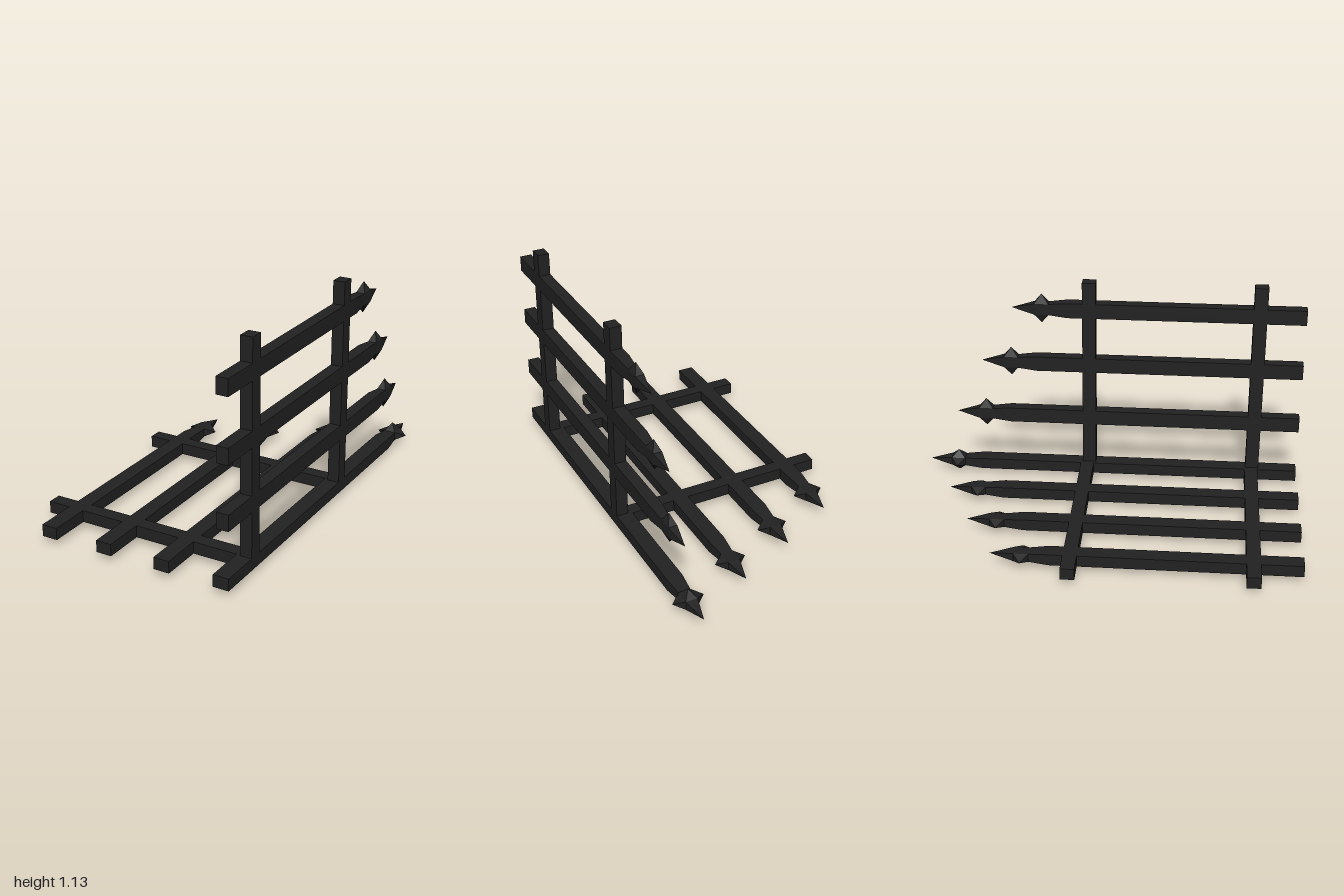
import * as THREE from 'three';

const iron = new THREE.MeshStandardMaterial({ color: 0x222222, flatShading: true });
const THICK = 0.06;
const CORNER = { x: 0.495, y: 0.063 };
const WALL_X = 0.505;

// Rectangular sections [halfWidth, halfHeight, z] joined one after another towards -z
function loft(sections) {
  const corners = [[1, 1], [-1, 1], [-1, -1], [1, -1]];
  const rings = sections.map(([w, h, z]) => corners.map(([x, y]) => [x * w, y * h, z]));
  const pos = [];
  const tri = (a, b, c) => pos.push(...a, ...b, ...c);
  const cap = rings[0];
  tri(cap[0], cap[1], cap[2]);
  tri(cap[0], cap[2], cap[3]);
  for (let i = 0; i < rings.length - 1; i++) {
    for (let j = 0; j < 4; j++) {
      const k = (j + 1) % 4, a = rings[i], b = rings[i + 1];
      tri(a[j], b[j], a[k]);
      if (sections[i + 1][0] > 0) tri(a[k], b[j], b[k]);
    }
  }
  const g = new THREE.BufferGeometry();
  g.setAttribute('position', new THREE.Float32BufferAttribute(pos, 3));
  g.computeVertexNormals();
  return g;
}

function part(parent, name, geometry) {
  const mesh = new THREE.Mesh(geometry, iron);
  mesh.name = name;
  parent.add(mesh);
  return mesh;
}

// Picket along z with a tapered neck, pointed tip and side barbs
function picket(name, head, fourBarbs = false) {
  const g = new THREE.Group();
  g.name = name;
  const w = 0.03, h = 0.022, d = 0.037;
  part(g, 'shaft', loft([
    [0.04, THICK / 2, 1], [0.04, THICK / 2, head + 0.135],
    [w, h, head + d], [w, h, head - d], [0, 0, head - 0.157],
  ]));
  for (const s of [-1, 1]) {
    const side = part(g, 'sideBarb', loft([[d, h, -w], [0, 0, -0.08]]));
    side.rotation.y = s * Math.PI / 2;
    side.position.z = head;
    if (fourBarbs) {
      const upright = part(g, 'uprightBarb', loft([[w, d, -h], [0, 0, -0.061]]));
      upright.rotation.x = s * Math.PI / 2;
      upright.position.z = head;
    }
  }
  return g;
}

// Rail pieces filling the gaps between pickets, flush with them
function railSpans(centres, start, end) {
  const edges = [start];
  for (const c of centres) edges.push(c - 0.04, c + 0.04);
  edges.push(end);
  const spans = [];
  for (let i = 0; i < edges.length; i += 2) spans.push([edges[i], edges[i + 1]]);
  return spans;
}

export function createModel() {
  const model = new THREE.Group();
  model.name = 'cornerFence';

  // Shared corner picket
  const corner = picket('cornerPicket', -0.843, true);
  corner.position.set(CORNER.x, CORNER.y, 0);
  model.add(corner);

  // Flat panel
  const floor = new THREE.Group();
  floor.name = 'flatPanel';
  const floorX = [-0.425, -0.12, 0.19];
  [-0.37, -0.535, -0.68].forEach((head, i) => {
    const p = picket('flatPicket', head);
    p.position.set(floorX[i], CORNER.y, 0);
    floor.add(p);
  });
  for (const z of [0.758, -0.13]) {
    for (const [a, b] of railSpans(floorX, -0.58, 0.455)) {
      part(floor, 'flatRail', new THREE.BoxGeometry(b - a, THICK, 0.07))
        .position.set((a + b) / 2, CORNER.y, z);
    }
  }

  // Upright panel
  const wall = new THREE.Group();
  wall.name = 'uprightPanel';
  const wallY = [0.36, 0.668, 0.975];
  [-0.68, -0.535, -0.367].forEach((head, i) => {
    const p = picket('uprightPicket', head);
    p.rotation.z = Math.PI / 2;
    p.position.set(WALL_X, wallY[i], 0);
    wall.add(p);
  });
  for (const z of [0.763, -0.119]) {
    for (const [a, b] of railSpans(wallY, 0.093, 1.13)) {
      part(wall, 'uprightRail', new THREE.BoxGeometry(THICK, b - a, 0.07))
        .position.set(WALL_X, (a + b) / 2, z);
    }
  }

  model.add(floor, wall);
  return model;
}
